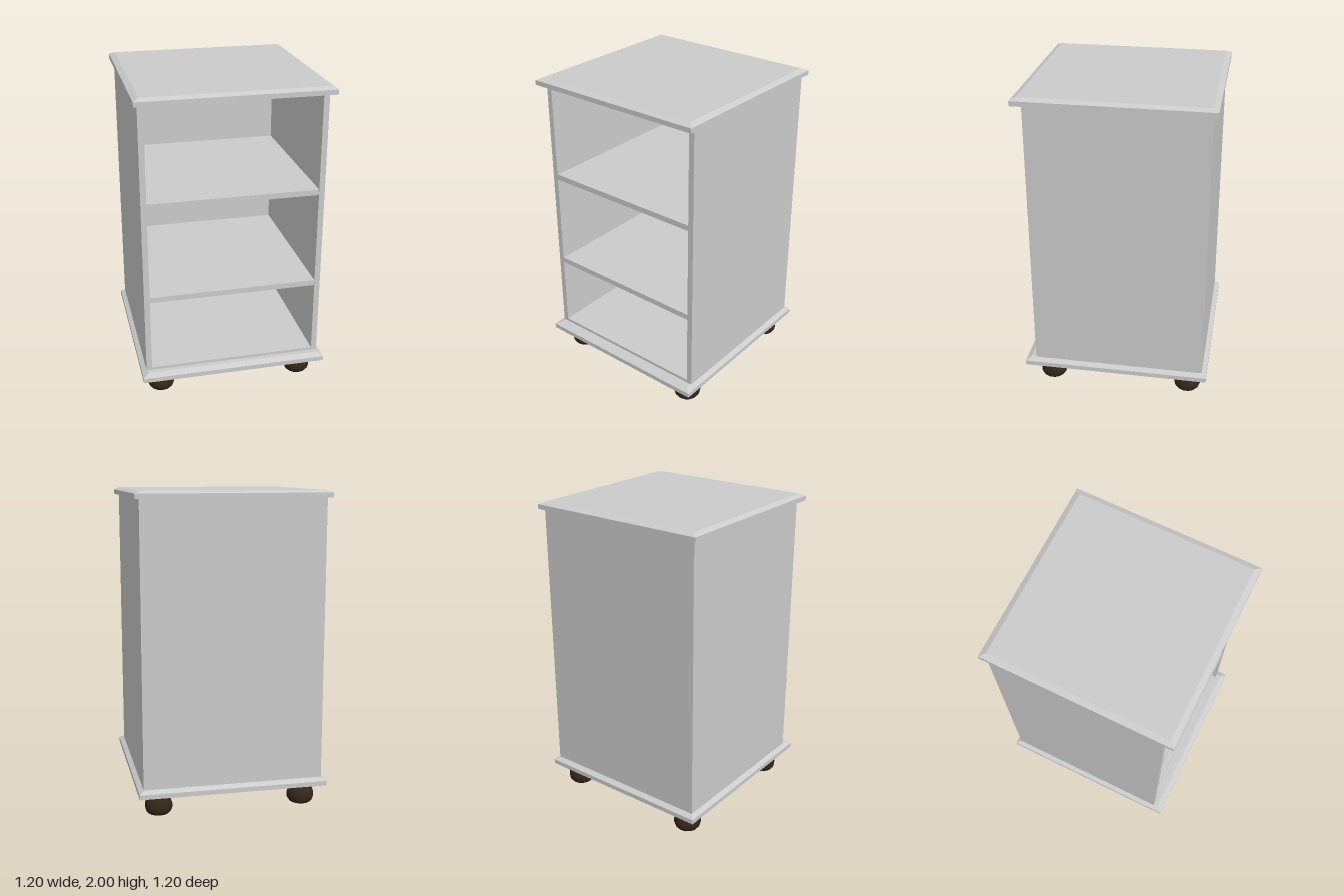
import * as THREE from 'three';

const grey = new THREE.MeshStandardMaterial({ color: 0xcccccc });
const darkWood = new THREE.MeshStandardMaterial({ color: 0x35271a });

const T = 0.036;                    // panel thickness
const HALF = 0.572;                 // outer half width of the case
const FRONT = 0.535, BACK = -0.57;  // case front and back
const FLOOR = 0.185, CEILING = 1.955;

export function createModel() {
  const model = new THREE.Group();
  model.name = 'openCabinet';

  const add = (name, geometry, material, x, y, z) => {
    const mesh = new THREE.Mesh(geometry, material);
    mesh.name = name;
    mesh.position.set(x, y, z);
    model.add(mesh);
    return mesh;
  };

  // Box given by its limits on each axis
  const panel = (name, x0, x1, y0, y1, z0, z1) =>
    add(name, new THREE.BoxGeometry(x1 - x0, y1 - y0, z1 - z0), grey,
      (x0 + x1) / 2, (y0 + y1) / 2, (z0 + z1) / 2);

  // Square slab with an upright lip and a chamfer around its top edge
  const slab = (name, y0, lip, y1) => {
    const half = 0.6, inset = 0.035;
    const box = new THREE.BoxGeometry(half * 2, 2, half * 2, 1, 2, 1);
    const p = box.attributes.position;
    for (let i = 0; i < p.count; i++) {
      const level = Math.round(p.getY(i)) + 1;
      p.setY(i, [y0, lip, y1][level]);
      if (level === 2) {
        p.setX(i, Math.sign(p.getX(i)) * (half - inset));
        p.setZ(i, Math.sign(p.getZ(i)) * (half - inset));
      }
    }
    const geometry = box.toNonIndexed();
    geometry.computeVertexNormals();
    add(name, geometry, grey, 0, 0, 0);
  };

  slab('basePlate', 0.135, 0.165, 0.185);
  slab('topPlate', CEILING, 1.985, 2.0);

  // Case
  const inner = HALF - T;
  panel('leftSide', inner, HALF, FLOOR, CEILING, BACK, FRONT);
  panel('rightSide', -HALF, -inner, FLOOR, CEILING, BACK, FRONT);
  panel('backPanel', -inner, inner, FLOOR, CEILING, BACK, BACK + T);
  panel('floorPanel', -inner, inner, FLOOR, 0.204, BACK + T, FRONT);

  // Shelves
  for (const [name, top] of [['lowerShelf', 0.71], ['upperShelf', 1.34]]) {
    panel(name, -inner, inner, top - T, top, BACK + T, FRONT - 0.002);
  }

  // Turned bun feet
  const profile = [
    [0, 0], [0.07, 0], [0.08, 0.012], [0.087, 0.03], [0.087, 0.055],
    [0.08, 0.08], [0.066, 0.105], [0.055, 0.122], [0.051, 0.137],
  ].map(([r, y]) => new THREE.Vector2(r, y));
  const footGeometry = new THREE.LatheGeometry(profile, 14);
  for (const [side, x] of [['Left', 0.466], ['Right', -0.466]]) {
    add('front' + side + 'Foot', footGeometry, darkWood, x, 0, 0.44);
    add('back' + side + 'Foot', footGeometry, darkWood, x, 0, -0.47);
  }

  return model;
}
